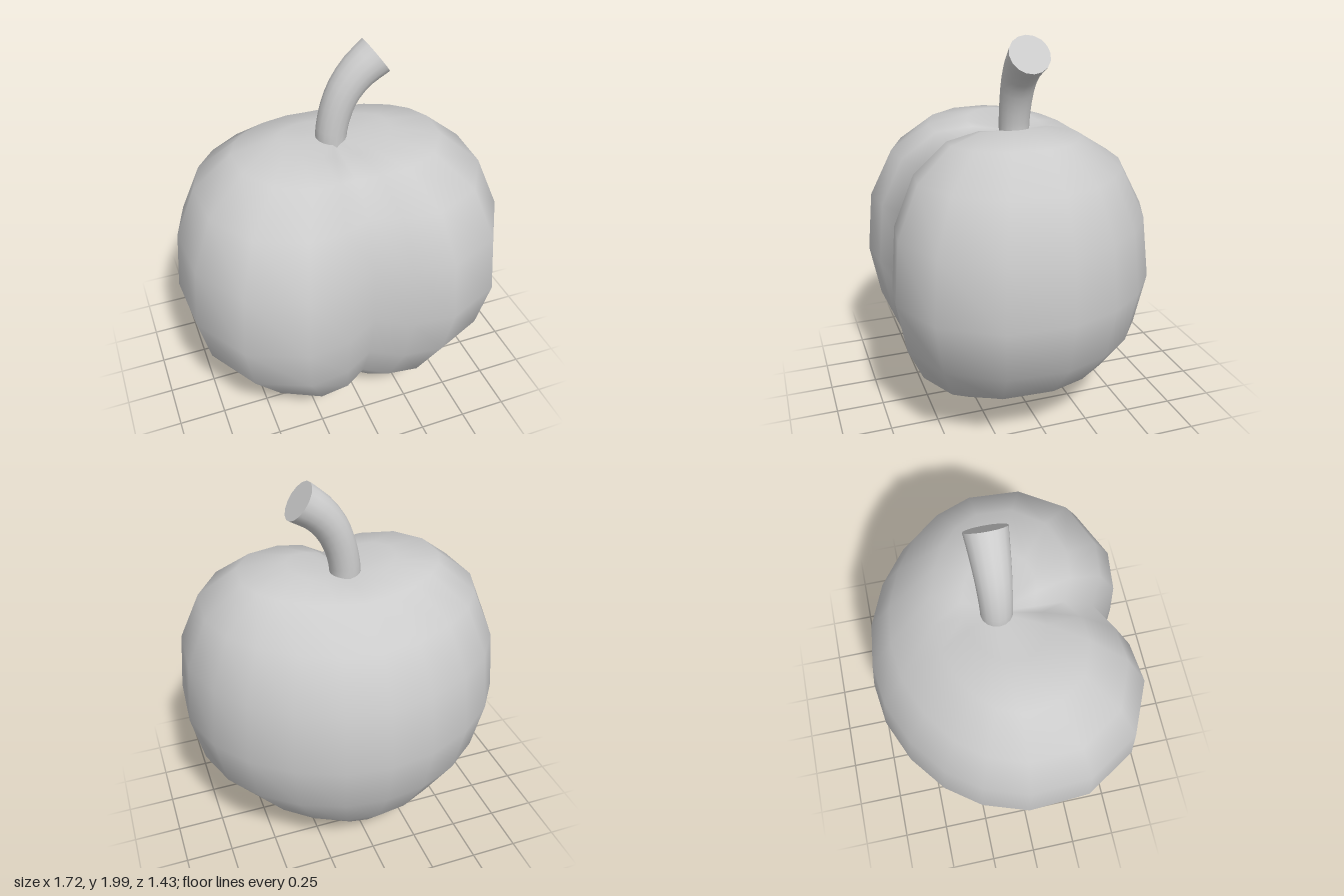
import * as THREE from 'three';

// Half outline of the fruit at its widest, from mid back round to the front cleft: x, z
const OUTLINE = [[0, -0.72], [0.23, -0.69], [0.46, -0.59], [0.65, -0.44], [0.78, -0.26], [0.86, -0.02],
  [0.84, 0.31], [0.67, 0.59], [0.39, 0.715], [0.17, 0.69], [0, 0.595]];

// Rings from bottom to top: height, width scale, front scale, back scale, dip near x = 0
const RINGS = [
  [0.04, 0.19, 0.22, 0.32, 0],
  [0.13, 0.43, 0.56, 0.57, 0],
  [0.29, 0.71, 0.8, 0.76, 0],
  [0.51, 0.93, 0.93, 0.92, 0],
  [0.78, 1, 1, 1, 0],
  [1.1, 0.965, 0.96, 0.945, 0],
  [1.36, 0.84, 0.8, 0.765, 0.015],
  [1.52, 0.61, 0.54, 0.46, 0.04],
  [1.555, 0.33, 0.28, 0.25, 0.05],
];

function fruitGeometry() {
  // Mirror the half outline into a closed loop
  const loop = [...OUTLINE, ...OUTLINE.slice(1, -1).reverse().map(([x, z]) => [-x, z])];
  const n = loop.length;
  const top = RINGS.length + 1;
  const pos = [0, 0.005, -0.01];
  for (const [y, sx, front, back, dip] of RINGS) {
    for (const [x, z] of loop) {
      const cleft = x === 0 && z > 0 ? 1.7 : 1;
      pos.push(x * sx, y - dip * cleft * (1 - Math.abs(x) / 0.86), z * (z > 0 ? front : back));
    }
  }
  pos.push(0, 1.49, -0.02);

  // Every ring joins the next; the first and last shrink to a single point
  const at = (j, i) => (j === 0 ? 0 : j === top ? 1 + RINGS.length * n : 1 + (j - 1) * n + (i % n));
  const index = [];
  for (let j = 0; j < top; j++) {
    for (let i = 0; i < n; i++) {
      if (j < top - 1) index.push(at(j, i), at(j + 1, i), at(j + 1, i + 1));
      if (j > 0) index.push(at(j, i), at(j + 1, i + 1), at(j, i + 1));
    }
  }
  const g = new THREE.BufferGeometry();
  g.setAttribute('position', new THREE.Float32BufferAttribute(pos, 3));
  g.setIndex(index);
  g.computeVertexNormals();
  return g;
}

export function createModel() {
  const model = new THREE.Group();
  model.name = 'fruit';
  const material = new THREE.MeshStandardMaterial({ color: 0xcccccc });

  const body = new THREE.Mesh(fruitGeometry(), material);
  body.name = 'fruitBody';
  model.add(body);

  // Curved stem that widens towards its cut end
  const stem = new THREE.Group();
  stem.name = 'stem';
  const path = new THREE.CatmullRomCurve3([[-0.005, 1.44], [-0.003, 1.53], [0.025, 1.66], [0.07, 1.76],
    [0.14, 1.845], [0.228, 1.91]].map(([x, y]) => new THREE.Vector3(x, y, -0.018)));
  const steps = 10, sides = 16, tipRadius = 0.105;
  const tube = new THREE.TubeGeometry(path, steps, 1, sides);
  const p = tube.attributes.position;
  const v = new THREE.Vector3();
  for (let i = 0; i < p.count; i++) {
    const t = Math.floor(i / (sides + 1)) / steps;
    const centre = path.getPointAt(t);
    const radius = 0.079 + (tipRadius - 0.079) * t * t;
    v.fromBufferAttribute(p, i).sub(centre).multiplyScalar(radius).add(centre);
    p.setXYZ(i, v.x, v.y, v.z);
  }
  tube.computeBoundingSphere();
  const stalk = new THREE.Mesh(tube, material);
  stalk.name = 'stemStalk';

  const cutEnd = new THREE.Mesh(new THREE.CircleGeometry(tipRadius, sides), material);
  cutEnd.name = 'stemCutEnd';
  cutEnd.position.copy(path.getPointAt(1));
  cutEnd.lookAt(path.getPointAt(1).add(path.getTangentAt(1)));

  stem.add(stalk, cutEnd);
  model.add(stem);
  return model;
}
